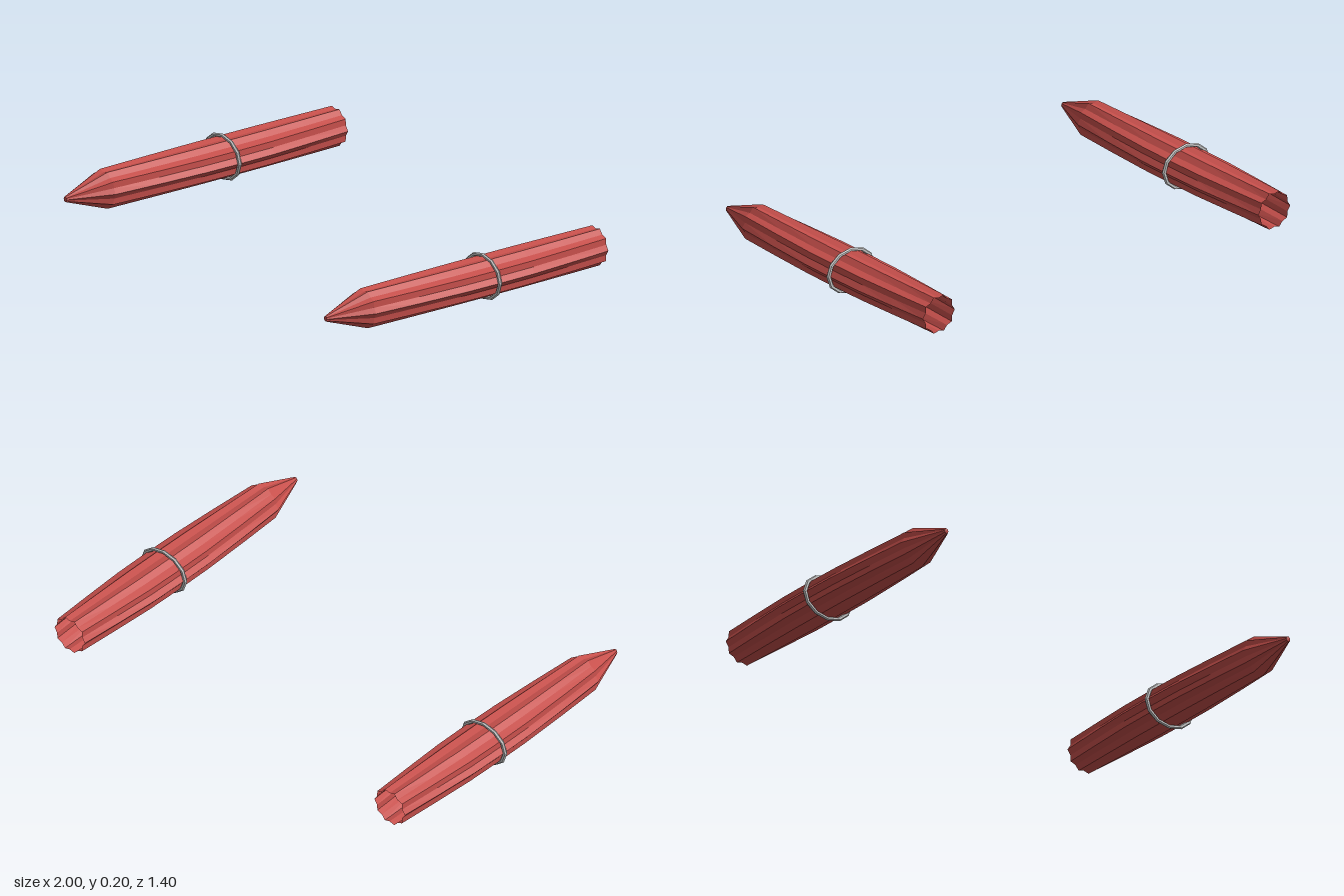
import * as THREE from 'three';

const LOBES = 10;
const VALLEY = 0.87; // flute valley radius relative to its ridge
const CENTER_Y = 0.1;

// Stations along the hull: [z, half width, half height]
const stations = [
  [-0.7, 0.083, 0.084], [-0.5, 0.097, 0.084], [-0.3, 0.109, 0.084], [-0.12, 0.111, 0.084],
  [0.05, 0.109, 0.084], [0.28, 0.097, 0.084], [0.5, 0.082, 0.084], [0.7, 0.01, 0.012],
];

// Fluted shell: open at the back, tapering to a small closed tip
function hullGeometry() {
  const n = LOBES * 2;
  const positions = [];
  const index = [];
  for (const [z, w, h] of stations) {
    for (let i = 0; i < n; i++) {
      const a = (i / n) * Math.PI * 2;
      const r = i % 2 ? VALLEY : 1;
      positions.push(Math.cos(a) * w * r, Math.sin(a) * h * r, z);
    }
  }
  for (let s = 0; s < stations.length - 1; s++) {
    for (let i = 0; i < n; i++) {
      const j = (i + 1) % n;
      const a = s * n + i, b = s * n + j, c = a + n, d = b + n;
      index.push(a, b, d, a, d, c);
    }
  }
  // Tip cap
  const last = (stations.length - 1) * n;
  const tip = positions.length / 3;
  positions.push(0, 0, 0.702);
  for (let i = 0; i < n; i++) index.push(last + i, last + ((i + 1) % n), tip);

  const geometry = new THREE.BufferGeometry();
  geometry.setAttribute('position', new THREE.Float32BufferAttribute(positions, 3));
  geometry.setIndex(index);
  geometry.computeVertexNormals();
  return geometry;
}

export function createModel() {
  const model = new THREE.Group();
  const red = new THREE.MeshStandardMaterial({ color: 0xc8504c, flatShading: true, side: THREE.DoubleSide });
  const grey = new THREE.MeshStandardMaterial({ color: 0xcccccc, flatShading: true });
  const hull = hullGeometry();
  const ring = new THREE.TorusGeometry(0.092, 0.008, 6, 12);
  // Oval band: widen the path, keep the thickness
  ring.scale(1.25, 1, 1);

  for (const [side, x] of [['left', 0.875], ['right', -0.875]]) {
    const pontoon = new THREE.Group();
    pontoon.name = `${side}Pontoon`;
    pontoon.position.set(x, CENTER_Y, 0);

    const shell = new THREE.Mesh(hull, red);
    shell.name = `${side}Hull`;

    const band = new THREE.Mesh(ring, grey);
    band.name = `${side}Band`;
    band.position.z = -0.115;

    pontoon.add(shell, band);
    model.add(pontoon);
  }
  return model;
}
